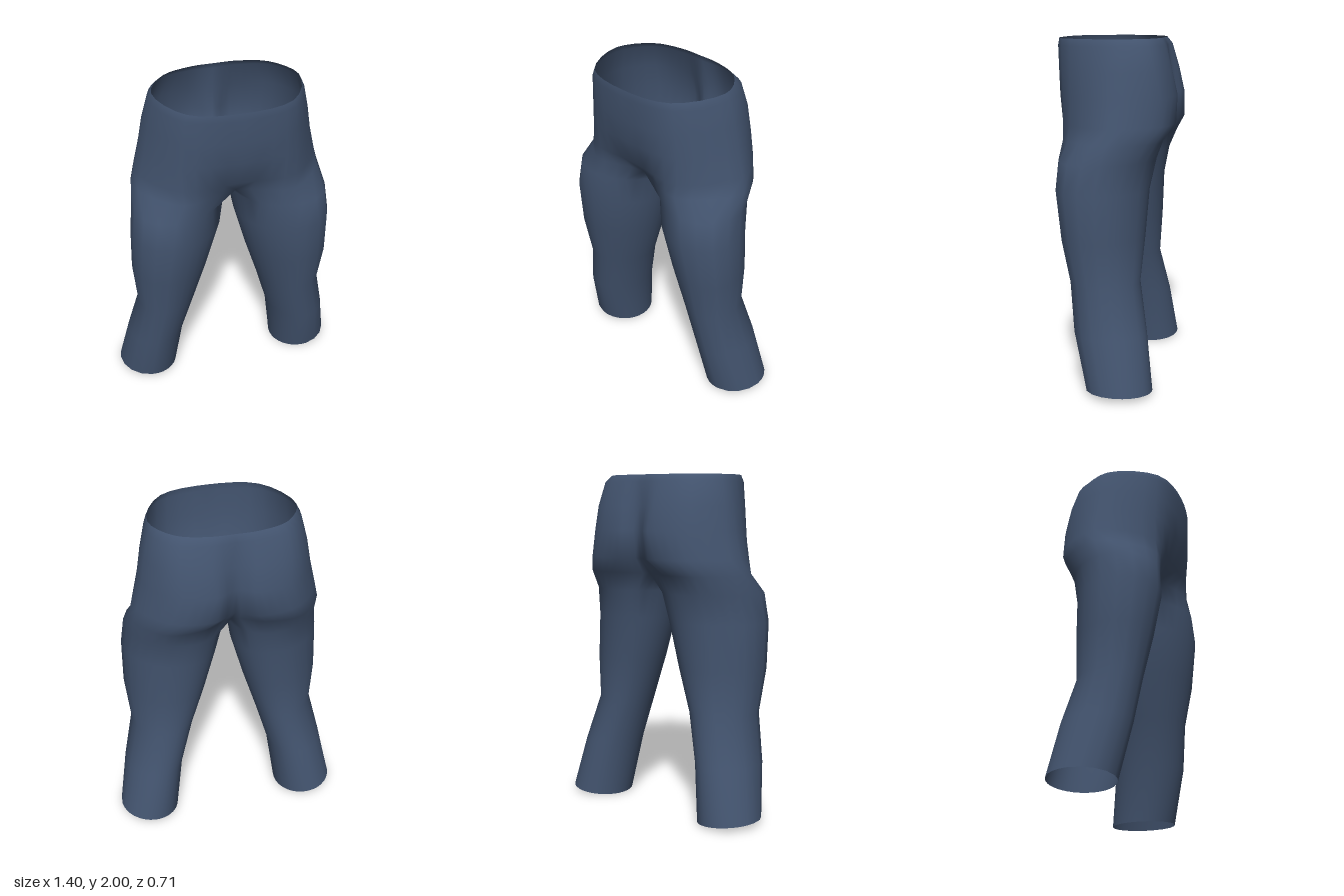
import * as THREE from 'three';
import { mergeVertices } from 'three/addons/utils/BufferGeometryUtils.js';

const STEPS = 4; // samples per section segment

// Half sections of the hips, front centre round the side to back centre:
// y, then z of front centre, (x,z) front, side, outer seat, seat, then z of back centre
const HIPS = [
  [2.0, 0.35, 0.29, 0.285, 0.42, 0.0, 0.31, -0.19, 0.14, -0.25, -0.255],
  [1.96, 0.355, 0.31, 0.285, 0.44, -0.01, 0.34, -0.22, 0.15, -0.28, -0.275],
  [1.82, 0.345, 0.32, 0.28, 0.475, -0.02, 0.36, -0.26, 0.14, -0.32, -0.29],
  [1.68, 0.33, 0.33, 0.275, 0.5, -0.03, 0.36, -0.29, 0.12, -0.352, -0.3],
  [1.52, 0.275, 0.33, 0.275, 0.54, -0.03, 0.37, -0.3, 0.12, -0.345, -0.28],
  [1.43, 0.2, 0.32, 0.28, 0.562, -0.02, 0.4, -0.27, 0.18, -0.28, -0.2],
];

// Leg sections: y, inner x, outer x, front z, back z
const LEG = [
  [1.32, 0.025, 0.575, 0.295, -0.25],
  [1.15, 0.055, 0.595, 0.308, -0.215],
  [0.88, 0.13, 0.6, 0.27, -0.2],
  [0.62, 0.21, 0.575, 0.215, -0.18],
  [0.34, 0.29, 0.64, 0.18, -0.235],
  [0.02, 0.335, 0.7, 0.105, -0.28],
];

// Directions round a leg that line up with the hip section points
const ANGLES = [-45, 5, 92, 150, 190, 225, 270, 315];

function hipArc([y, fc, fx, fz, sx, sz, ox, oz, bx, bz, bc]) {
  const pts = [[-fx, fz], [0, fc], [fx, fz], [sx, sz], [ox, oz], [bx, bz], [0, bc], [-bx, bz]];
  const curve = new THREE.CatmullRomCurve3(pts.map(([x, z]) => new THREE.Vector3(x, y, z)));
  const arc = [];
  for (let i = 0; i <= 5 * STEPS; i++) {
    const p = curve.getPoint((1 + i / STEPS) / 7);
    p.x = Math.max(0, p.x);
    if (i === 0 || i === 5 * STEPS) p.x = 0;
    arc.push(p);
  }
  return arc;
}

// Closes the lowest hip arc along the crotch seam
function crotchRing(arc) {
  const ring = arc.slice();
  for (let i = 1; i <= 2 * STEPS; i++) {
    const s = i / STEPS - 1;
    ring.push(new THREE.Vector3(0, 1.375 + 0.055 * s * s, 0.2 * s));
  }
  ring[ring.length - 1].copy(arc[0]);
  return ring;
}

function legRing([y, xi, xo, zf, zb], index) {
  const ring = [];
  const hem = index === LEG.length - 1;
  for (let i = 0; i <= 7 * STEPS; i++) {
    const k = Math.min(6, Math.floor(i / STEPS));
    const a = THREE.MathUtils.degToRad(THREE.MathUtils.lerp(ANGLES[k], ANGLES[k + 1], i / STEPS - k));
    const lean = 0.05 * Math.min(1, y); // thigh front leans outward
    const x = (xi + xo) / 2 + ((xo - xi) / 2) * Math.sin(a) + lean * Math.cos(a);
    const z = (zf + zb) / 2 + ((zf - zb) / 2) * Math.cos(a);
    ring.push(new THREE.Vector3(x, hem ? Math.max(0, 0.09 * (x - 0.335)) : y, z));
  }
  return ring;
}

// Skins a stack of rings on one side (+1 left, -1 right)
function skin(rings, side, positions, indices) {
  const base = positions.length / 3;
  const n = rings[0].length;
  rings.forEach((r) => r.forEach((p) => positions.push(side * p.x, p.y, p.z)));
  for (let i = 0; i < rings.length - 1; i++) {
    for (let j = 0; j < n - 1; j++) {
      const a = base + i * n + j, b = a + 1, c = a + n, d = c + 1;
      if (side > 0) indices.push(a, c, b, b, c, d);
      else indices.push(a, b, c, b, d, c);
    }
  }
}

export function createModel() {
  const group = new THREE.Group();
  group.name = 'trousers';

  const arcs = HIPS.map(hipArc);
  const legs = [crotchRing(arcs[arcs.length - 1]), ...LEG.map(legRing)];
  const positions = [], indices = [];
  for (const side of [1, -1]) {
    skin(arcs, side, positions, indices);
    skin(legs, side, positions, indices);
  }

  // One welded cloth surface, so shading stays smooth across the seams
  let cloth = new THREE.BufferGeometry();
  cloth.setAttribute('position', new THREE.Float32BufferAttribute(positions, 3));
  cloth.setIndex(indices);
  cloth = mergeVertices(cloth, 1e-4);
  cloth.computeVertexNormals();

  const material = new THREE.MeshStandardMaterial({ color: 0x43546f, side: THREE.DoubleSide });
  const mesh = new THREE.Mesh(cloth, material);
  mesh.name = 'hipsAndLegs';
  group.add(mesh);
  return group;
}
